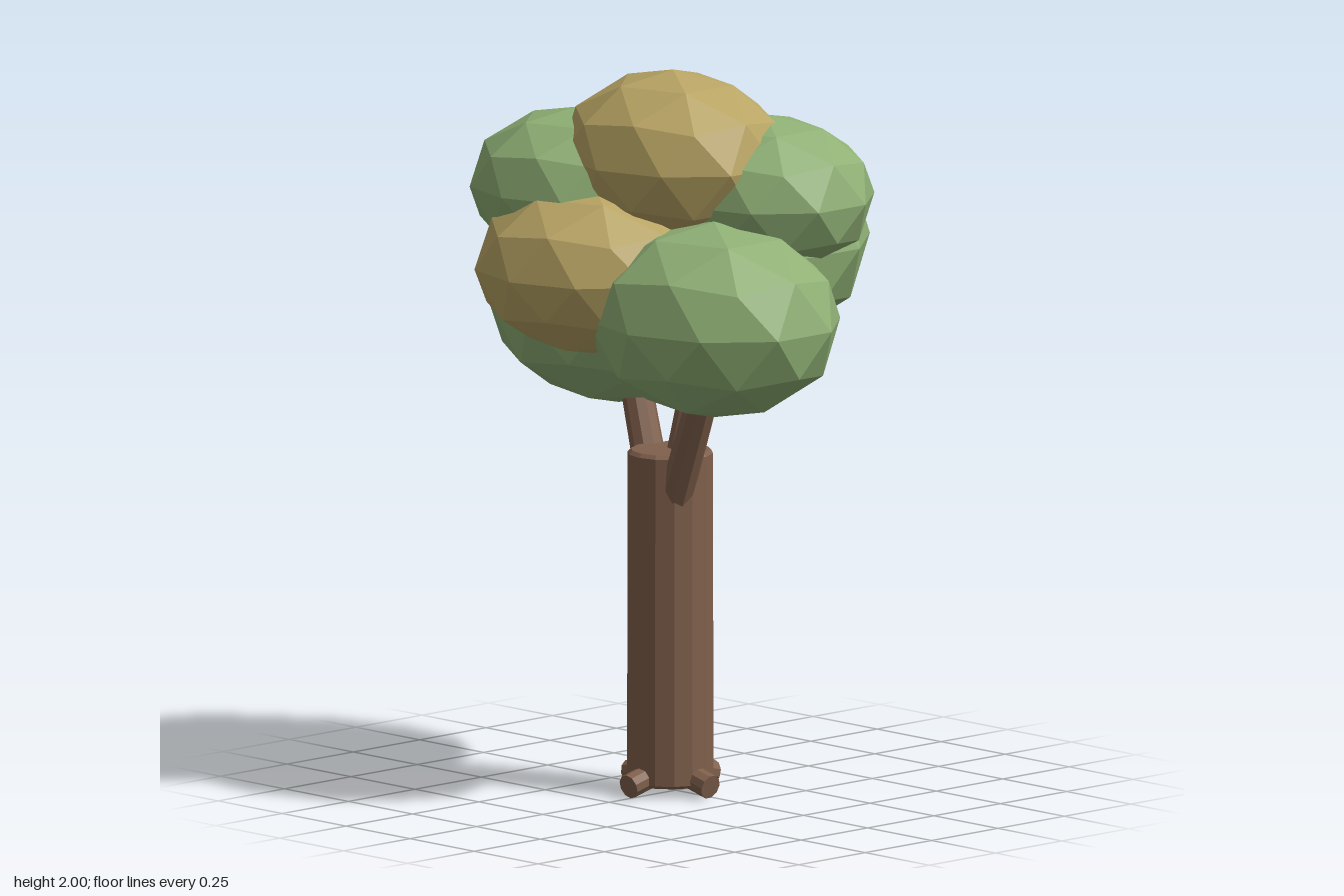
import * as THREE from 'three';

const flat = (name, color) => {
  const m = new THREE.MeshStandardMaterial({ color, flatShading: true });
  m.name = name;
  return m;
};

export function createModel() {
  const tree = new THREE.Group();
  tree.name = 'tree';
  const bark = flat('bark brown', 0x80604c);
  const green = flat('leaf green', 0x8fb075);
  const gold = flat('leaf gold', 0xb8a464);

  const add = (name, geometry, material) => {
    const mesh = new THREE.Mesh(geometry, material);
    mesh.name = name;
    tree.add(mesh);
    return mesh;
  };

  // Tapered limb between two points
  const limb = (name, from, to, r0, r1, sides) => {
    const a = new THREE.Vector3(...from), b = new THREE.Vector3(...to);
    const dir = b.clone().sub(a);
    const mesh = add(name, new THREE.CylinderGeometry(r1, r0, dir.length(), sides), bark);
    mesh.position.copy(a).lerp(b, 0.5);
    mesh.quaternion.setFromUnitVectors(new THREE.Vector3(0, 1, 0), dir.normalize());
  };

  // Trunk with slightly chamfered rims
  const profile = [[0, 0.03], [0.11, 0.03], [0.118, 0.038], [0.117, 0.94], [0.107, 0.95], [0, 0.95]];
  const trunk = add('trunk', new THREE.LatheGeometry(profile.map(p => new THREE.Vector2(...p)), 14), bark);
  trunk.position.z = 0.02;

  // Four stubby roots, dipping outwards
  for (let i = 0; i < 4; i++) {
    const c = Math.round(Math.cos(i * Math.PI / 2)), s = Math.round(Math.sin(i * Math.PI / 2));
    limb('root' + (i + 1), [c * 0.06, 0.062, 0.02 + s * 0.06],
      [c * 0.157, 0.037, 0.02 + s * 0.157], 0.034, 0.034, 10);
  }

  // Branches reaching into the crown
  limb('leftBranch', [0.06, 0.83, 0.058], [0.25, 1.24, 0.1], 0.048, 0.042, 10);
  limb('rightBranch', [-0.06, 0.78, 0.01], [-0.24, 1.22, -0.05], 0.048, 0.042, 10);
  limb('backBranch', [0.005, 0.85, 0], [0.018, 1.36, -0.125], 0.046, 0.04, 10);

  // Leaf clumps: stretched icospheres with a vertex at the top
  const ball = new THREE.IcosahedronGeometry(1, 1);
  ball.rotateZ(Math.atan(2 / (1 + Math.sqrt(5))));
  const clumps = [
    ['rightLowerLeaves', green, [-0.28, 1.31, -0.055], [0.373, 0.28, 0.34]],
    ['leftLowerLeaves', green, [0.28, 1.36, 0.125], [0.373, 0.27, 0.326]],
    ['backLeaves', green, [0.03, 1.52, -0.17], [0.415, 0.3, 0.368]],
    ['leftUpperLeaves', green, [0.205, 1.66, -0.14], [0.316, 0.22, 0.287]],
    ['rightUpperLeaves', green, [-0.25, 1.66, 0.138], [0.305, 0.215, 0.277]],
    ['frontLeaves', gold, [-0.095, 1.465, 0.222], [0.335, 0.237, 0.314]],
    ['topLeaves', gold, [0.016, 1.76, 0.025], [0.335, 0.24, 0.29]],
  ];
  for (const [name, material, position, scale] of clumps) {
    const mesh = add(name, ball, material);
    mesh.position.set(...position);
    mesh.scale.set(...scale);
  }
  return tree;
}
